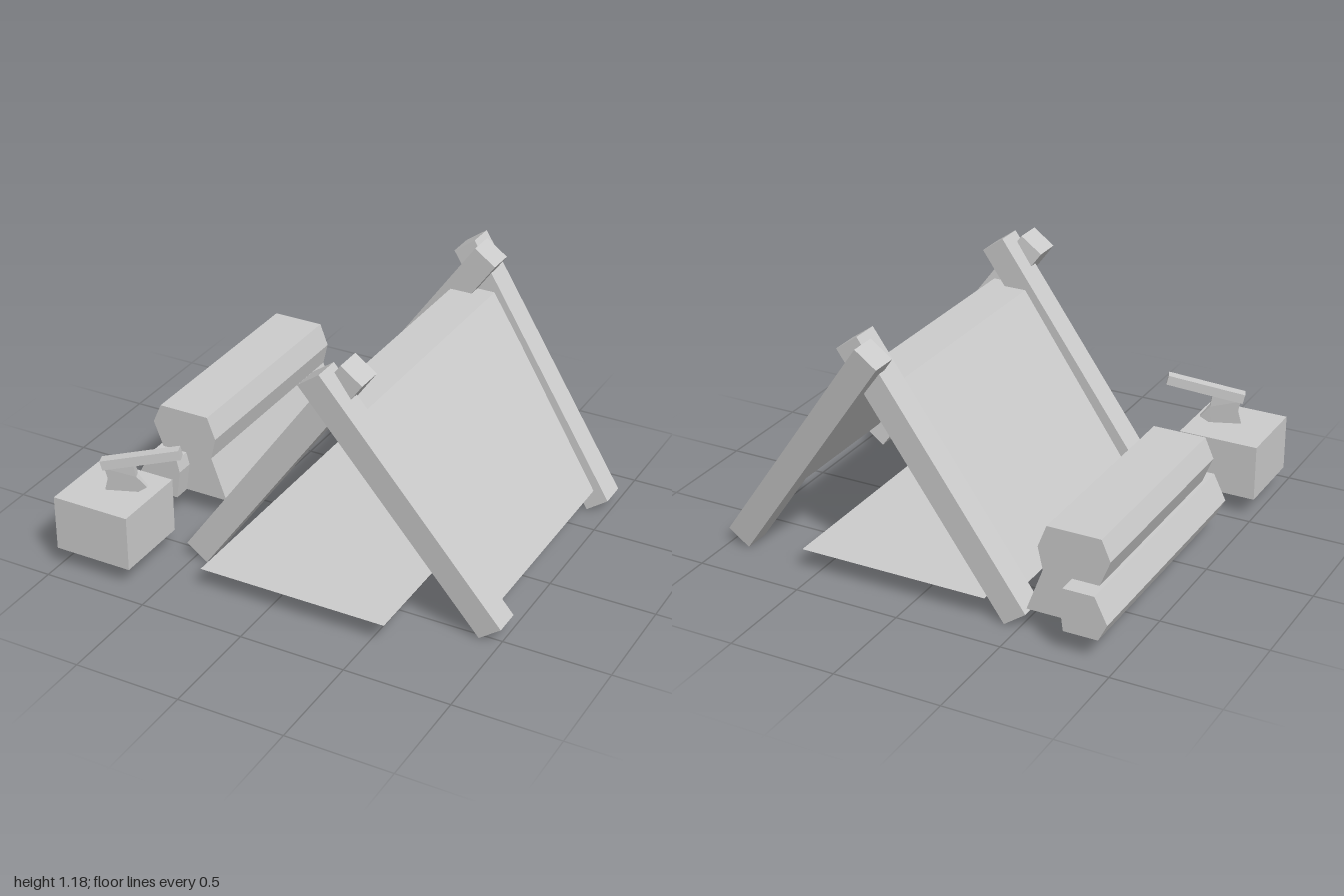
import * as THREE from 'three';

const material = new THREE.MeshStandardMaterial({ color: 0xcccccc, flatShading: true });
const sheetMaterial = new THREE.MeshStandardMaterial({ color: 0xcccccc, flatShading: true, side: THREE.DoubleSide });
const MID_Z = -0.127; // the tent's middle

function part(parent, name, geometry, mat = material) {
  const mesh = new THREE.Mesh(geometry, mat);
  mesh.name = name;
  parent.add(mesh);
  return mesh;
}

// Prism with an xy outline, running from z0 to z1
function prism(points, z0, z1) {
  const shape = new THREE.Shape(points.map(([x, y]) => new THREE.Vector2(x, y)));
  return new THREE.ExtrudeGeometry(shape, { depth: z1 - z0, bevelEnabled: false }).translate(0, 0, z0);
}

// Square beam between two points, sheared in z so its faces stay parallel to the front
function beam(foot, top, width, depth) {
  const dx = top[0] - foot[0], dy = top[1] - foot[1];
  const length = Math.hypot(dx, dy);
  const geometry = new THREE.BoxGeometry(width, length, depth);
  const p = geometry.attributes.position;
  for (let i = 0; i < p.count; i++) {
    const t = p.getY(i) / length + 0.5;
    p.setZ(i, p.getZ(i) + foot[2] + (top[2] - foot[2]) * t);
  }
  geometry.rotateZ(Math.atan2(-dx, dy));
  geometry.translate((foot[0] + top[0]) / 2, (foot[1] + top[1]) / 2, 0);
  geometry.computeVertexNormals();
  return geometry;
}

function createTent() {
  const tent = new THREE.Group();
  tent.name = 'tent';

  // Crossed poles at both ends; the left ones lean outwards
  for (const [end, s] of [['front', 1], ['back', -1]]) {
    part(tent, end + 'LeftPole',
      beam([0.95, 0.042, MID_Z + s * 0.587], [0.16, 1.14, MID_Z + s * 0.737], 0.125, 0.13));
    part(tent, end + 'RightPole',
      beam([-0.48, 0.042, MID_Z + s * 0.64], [0.31, 1.15, MID_Z + s * 0.64], 0.125, 0.13));
  }

  // Cloth: x, y and half length of each fold
  const folds = [[-0.44, 0.11, 0.63], [0.14, 0.955, 0.637], [0.335, 0.955, 0.637], [0.925, 0.11, 0.55]];
  const cloth = new THREE.PlaneGeometry(1, 1, 3, 1);
  const p = cloth.attributes.position;
  for (let i = 0; i < p.count; i++) {
    const [x, y, half] = folds[i % 4];
    p.setXYZ(i, x, y, MID_Z + (i < 4 ? -half : half));
  }
  cloth.computeVertexNormals();
  part(tent, 'cloth', cloth, sheetMaterial);

  // Ground mat
  const mat = part(tent, 'groundMat', new THREE.PlaneGeometry(0.91, 1.61).rotateX(-Math.PI / 2), sheetMaterial);
  mat.position.set(0.115, 0.11, -0.035);
  return tent;
}

function createWoodpile() {
  const pile = new THREE.Group();
  pile.name = 'woodpile';
  part(pile, 'stackedLogs', prism([
    [-0.535, 0.11], [-0.61, 0.315], [-0.585, 0.42], [-0.625, 0.525],
    [-0.875, 0.525], [-0.917, 0.43], [-0.87, 0.31], [-0.77, 0.29], [-0.77, 0.11],
  ], -0.83, 0.23));
  part(pile, 'lowerLog', prism([
    [-0.91, 0.11], [-0.75, 0.11], [-0.73, 0.25], [-0.745, 0.31], [-0.89, 0.31], [-0.95, 0.19],
  ], -0.92, 0.315));
  return pile;
}

function createChoppingBlock() {
  const group = new THREE.Group();
  group.name = 'choppingBlock';
  part(group, 'block', new THREE.BoxGeometry(0.38, 0.265, 0.375)).position.set(-0.81, 0.2325, 0.7285);

  // Axe stuck in the block
  const axe = new THREE.Group();
  axe.name = 'axe';
  axe.position.set(-0.85, 0, 0.755);
  axe.rotation.y = 0.37;
  part(axe, 'axeHandle', prism([[0.01, 0.475], [0.365, 0.555], [0.355, 0.6], [0, 0.52]], -0.024, 0.024));
  const head = prism([
    [0.01, 0.355], [0.15, 0.355], [0.205, 0.395], [0.16, 0.45], [0.15, 0.51], [0.02, 0.485], [0.03, 0.43],
  ], -0.022, 0.022);
  // Thin the head towards its cutting edge
  const p = head.attributes.position;
  for (let i = 0; i < p.count; i++) {
    const t = Math.min(1, Math.max(0.15, (p.getY(i) - 0.34) / 0.14));
    p.setZ(i, p.getZ(i) * t);
  }
  head.computeVertexNormals();
  part(axe, 'axeHead', head);
  group.add(axe);
  return group;
}

export function createModel() {
  const model = new THREE.Group();
  model.name = 'camp';
  model.add(createTent(), createWoodpile(), createChoppingBlock());
  return model;
}
